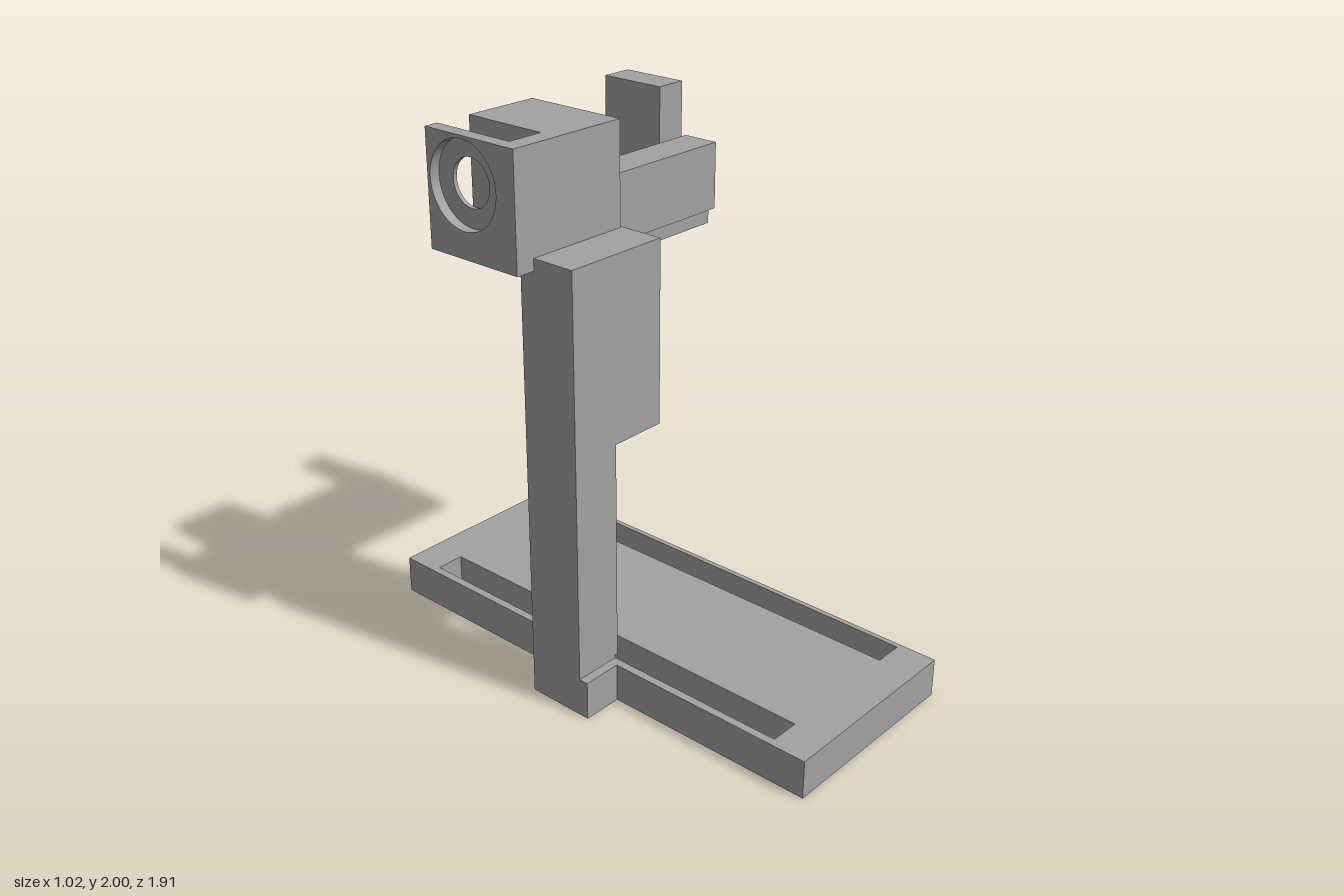
import * as THREE from 'three';
import { toCreasedNormals } from 'three/addons/utils/BufferGeometryUtils.js';

export function createModel() {
  const model = new THREE.Group();
  const grey = new THREE.MeshStandardMaterial({ color: 0xa2a2a2 });
  grey.name = 'plain grey';

  function add(name, geometry) {
    const mesh = new THREE.Mesh(geometry, grey);
    mesh.name = name;
    model.add(mesh);
    return mesh;
  }

  // Box given by its limits on each axis
  function box(name, x0, x1, y0, y1, z0, z1) {
    const g = new THREE.BoxGeometry(x1 - x0, y1 - y0, z1 - z0);
    g.translate((x0 + x1) / 2, (y0 + y1) / 2, (z0 + z1) / 2);
    return add(name, g);
  }

  function rect(Type, x0, x1, y0, y1) {
    return new Type([[x0, y0], [x1, y0], [x1, y1], [x0, y1]].map(p => new THREE.Vector2(...p)));
  }

  function extrude(shape, depth) {
    return new THREE.ExtrudeGeometry(shape, { depth, bevelEnabled: false, curveSegments: 40 });
  }

  // Side profile in (-z, y), extruded along x
  function slab(name, shape, x0, x1) {
    const g = toCreasedNormals(extrude(shape, x1 - x0), 0.5);
    g.rotateY(Math.PI / 2).translate(x0, 0, 0);
    return add(name, g);
  }

  // Bore through the head, along x
  const bore = { s: 0.287, y: 1.84, r: 0.083 };
  function withBore(shape, r) {
    shape.holes.push(new THREE.Path().absarc(bore.s, bore.y, r, 0, Math.PI * 2, true));
    return shape;
  }

  // Base plate with two long slots
  const plate = rect(THREE.Shape, -0.29, 0.475, -0.955, 0.955);
  for (const x of [-0.26, 0.345]) plate.holes.push(rect(THREE.Path, x, x + 0.11, -0.812, 0.812));
  add('basePlate', extrude(plate, 0.145).rotateX(-Math.PI / 2));

  // Foot beside the plate and stepped post
  box('foot', -0.44, -0.29, 0, 0.145, -0.115, 0.145);
  box('postSeat', -0.44, -0.26, 0.145, 0.157, -0.115, 0.11);
  const post = new THREE.Shape([
    [-0.44, 0.157], [-0.248, 0.157], [-0.248, 0.975], [-0.03, 0.975], [-0.03, 1.637], [-0.44, 1.637],
  ].map(p => new THREE.Vector2(...p)));
  add('post', extrude(post, 0.225).translate(0, 0, -0.115));

  // Head: bored block, front wall, pocket floor and outer cheek with counterbore
  slab('headBlock', withBore(rect(THREE.Shape, 0.055, 0.45, 1.595, 2), bore.r), -0.325, -0.04);
  box('headUnderside', -0.325, -0.04, 1.5, 1.595, -0.45, -0.115);
  box('headFrontWall', -0.46, -0.325, 1.595, 2, -0.125, -0.055);
  box('pocketFloor', -0.46, -0.325, 1.595, 1.67, -0.45, -0.125);
  slab('cheekInner', withBore(rect(THREE.Shape, 0.055, 0.45, 1.595, 2), bore.r), -0.475, -0.46);
  slab('cheekOuter', withBore(rect(THREE.Shape, 0.055, 0.45, 1.595, 2), 0.15), -0.512, -0.475);

  // Arm: floor, front rail and end tab
  box('armFloor', -0.04, 0.508, 1.5, 1.637, -0.53, -0.133);
  const rail = rect(THREE.Shape, 0.105, 0.242, 1.56, 1.8);
  slab('armRail', rail, 0.065, 0.508);

  // Rail end relieved where the bore runs past its top corner
  const relieved = new THREE.Shape();
  const a0 = Math.PI + Math.acos((bore.s - 0.242) / bore.r);
  const a1 = Math.PI + Math.asin((bore.y - 1.8) / bore.r);
  relieved.moveTo(0.105, 1.56);
  relieved.lineTo(0.242, 1.56);
  relieved.absarc(bore.s, bore.y, bore.r, a0, a1, true);
  relieved.lineTo(0.105, 1.8);
  slab('armRailRelief', relieved, -0.04, 0.065);

  box('endTab', 0.39, 0.508, 1.637, 1.99, -0.518, -0.262);

  return model;
}
